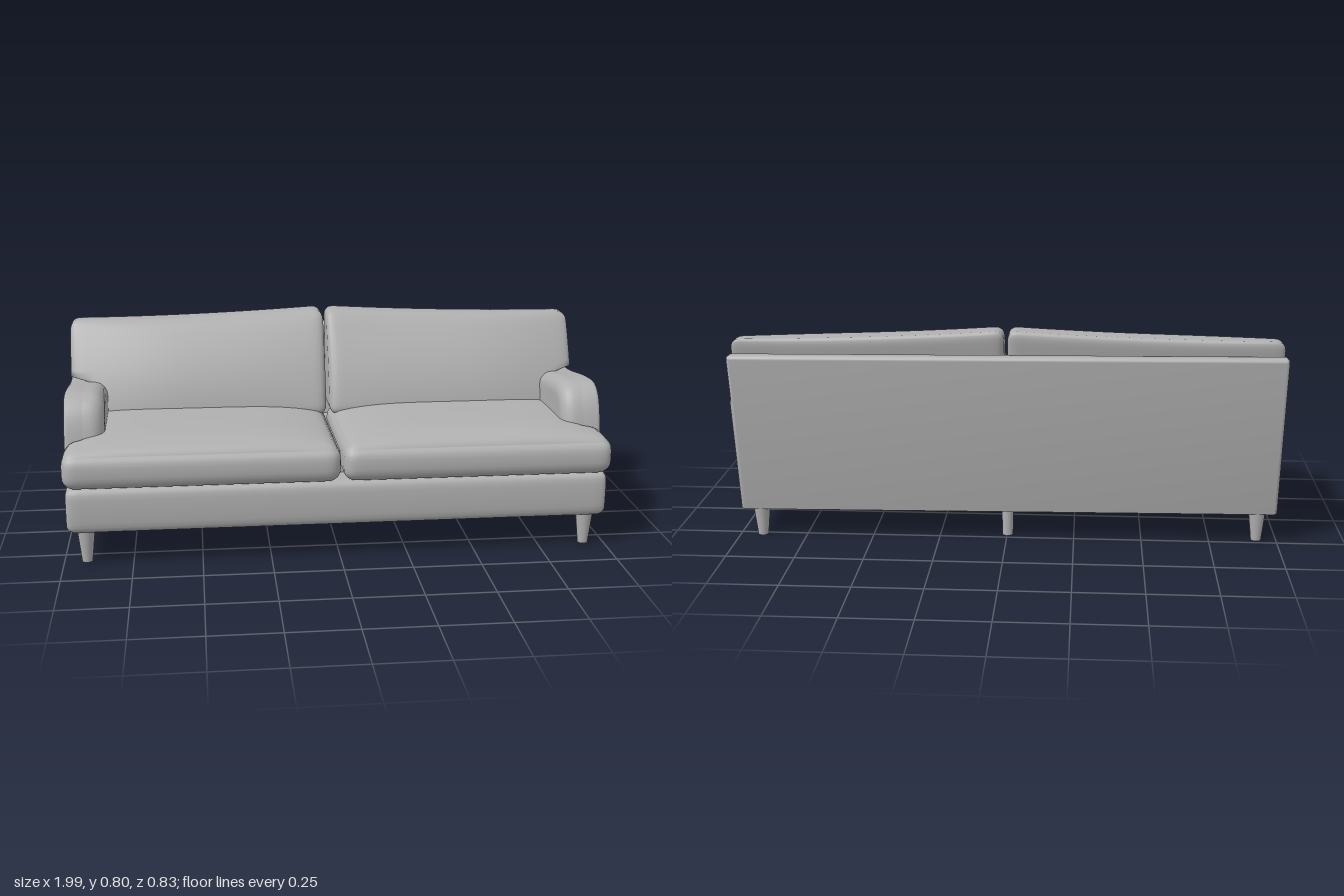
import * as THREE from 'three';
import { mergeVertices, toCreasedNormals } from 'three/addons/utils/BufferGeometryUtils.js';

const upholstery = new THREE.MeshStandardMaterial({ color: 0xb0b0b0 });
upholstery.name = 'grey upholstery';

// Rounded, evenly subdivided block; rule(p, u, v, w) then shapes each vertex (u, v, w run -1..1)
function softBlock(size, radius, segments, rule) {
  const half = size.map((s) => s / 2);
  const box = new THREE.BoxGeometry(2, 2, 2, ...segments);
  box.deleteAttribute('uv');
  box.deleteAttribute('normal');
  const geo = mergeVertices(box, 1e-5);
  const pos = geo.attributes.position;
  const p = new THREE.Vector3(), core = new THREE.Vector3();
  const inner = new THREE.Vector3(...half).subScalar(radius);
  for (let i = 0; i < pos.count; i++) {
    // crowd the grid lines towards the edges
    const [u, v, w] = [pos.getX(i), pos.getY(i), pos.getZ(i)].map((t) => Math.sin(t * Math.PI / 2));
    p.set(u * half[0], v * half[1], w * half[2]);
    core.copy(p).clamp(inner.clone().negate(), inner);
    p.sub(core).setLength(radius).add(core);
    rule(p, u, v, w);
    pos.setXYZ(i, p.x, p.y, p.z);
  }
  geo.computeVertexNormals();
  return geo;
}

// Side profile (drawn with -z as its horizontal axis) extruded along x from x0 to x1
function sideExtrude(shape, x0, x1, bevel) {
  const geo = new THREE.ExtrudeGeometry(shape, {
    depth: x1 - x0 - 2 * bevel, bevelThickness: bevel, bevelSize: bevel,
    bevelOffset: -bevel, bevelSegments: 6, curveSegments: 16,
  });
  geo.rotateY(Math.PI / 2);
  geo.translate(x0 + bevel, 0, 0);
  return toCreasedNormals(geo, 0.6);
}

function armShape() {
  const s = new THREE.Shape();
  s.moveTo(-0.272, 0.11);
  s.lineTo(-0.262, 0.3);
  s.bezierCurveTo(-0.25, 0.48, -0.225, 0.578, -0.12, 0.578);
  s.bezierCurveTo(0.02, 0.575, 0.1, 0.545, 0.24, 0.543);
  s.lineTo(0.365, 0.55);
  s.lineTo(0.287, 0.11);
  s.closePath();
  return s;
}

function backShape() {
  const s = new THREE.Shape();
  s.moveTo(0.22, 0.11);
  s.lineTo(0.287, 0.11);
  s.lineTo(0.4, 0.705);
  s.quadraticCurveTo(0.4, 0.72, 0.385, 0.72);
  s.lineTo(0.35, 0.718);
  s.quadraticCurveTo(0.33, 0.715, 0.325, 0.69);
  s.closePath();
  return s;
}

export function createModel() {
  const model = new THREE.Group();
  model.name = 'sofa';
  const add = (name, geo, x = 0, y = 0, z = 0) => {
    const mesh = new THREE.Mesh(geo, upholstery);
    mesh.name = name;
    mesh.position.set(x, y, z);
    model.add(mesh);
  };

  // Frame: back panel, seat platform, front rail
  add('backPanel', sideExtrude(backShape(), -0.99, 0.985, 0.012));
  add('seatPlatform', new THREE.BoxGeometry(1.9, 0.25, 0.52), 0, 0.242, 0);
  add('frontRail', softBlock([1.975, 0.17, 0.13], 0.03, [28, 12, 12], (p, u, v, w) => {
    if (w > 0) p.z += 0.006 * (1 - v * v);
  }), 0, 0.203, 0.312);

  for (const side of [-1, 1]) {
    const label = side > 0 ? 'left' : 'right';

    // Arm: crisp outer panel with a softly rolled inner pad
    const span = (a, b) => (side > 0 ? [a, b] : [-b, -a]);
    add(label + 'ArmPanel', sideExtrude(armShape(), ...span(0.91, 0.99), 0.012));
    add(label + 'ArmPad', sideExtrude(armShape(), ...span(0.845, 0.975), 0.05));

    // T-shaped seat cushion, crowned on top, wrapping in front of the arm
    add(label + 'SeatCushion', softBlock([0.99, 0.135, 0.62], 0.045, [32, 12, 32], (p, u, v, w) => {
      const crown = (1 - u ** 4) * (1 - w ** 4);
      p.y += v > 0 ? 0.038 * v * crown : 0;
      p.z += w > 0 ? 0.008 * w * (1 - v * v) : 0;
      let x = p.x * side + 0.5;
      if (p.z + 0.092 < 0.245) x = Math.min(x, 0.9);
      p.x = x * side;
    }), 0, 0.353, 0.092);

    // Leaning back cushion, thinner at the top and outer end, taller at the centre
    add(label + 'BackCushion', softBlock([0.98, 0.36, 0.2], 0.035, [32, 24, 12], (p, u, v, w) => {
      let x = p.x * side + 0.496;
      const t = p.y / 0.36 + 0.5;
      const taper = Math.max(0, (x - 0.55) / 0.45) ** 2;
      const front = -0.05 - 0.083 * t - 0.05 * taper;
      const back = -0.25 - 0.083 * t * 0.95;
      const k = p.z / 0.2 + 0.5;
      p.z = back + (front - back) * k;
      p.z -= k * 0.084 * t * t;
      p.z += k * 0.012 * (1 - u * u) * (1 - v * v);
      p.y = 0.41 + t * (0.355 + 0.033 * (1 - Math.min(1, x)) ** 2);
      if (p.y < 0.55) x = Math.min(x, 0.9);
      p.x = x * side;
    }));

    // Tapered corner legs
    for (const [name, z] of [['FrontLeg', 0.325], ['BackLeg', -0.252]]) {
      add(label + name, new THREE.CylinderGeometry(0.033, 0.019, 0.13, 24), side * 0.92, 0.065, z);
    }
  }

  // Straight support leg under the middle of the back
  add('centreLeg', new THREE.CylinderGeometry(0.022, 0.02, 0.13, 24), 0, 0.065, -0.225);

  // Slight settle of the whole piece
  model.rotation.set(0, 0.013, -0.005);
  model.position.y = 0.005;
  const root = new THREE.Group();
  root.name = 'sofaRoot';
  root.add(model);
  return root;
}
